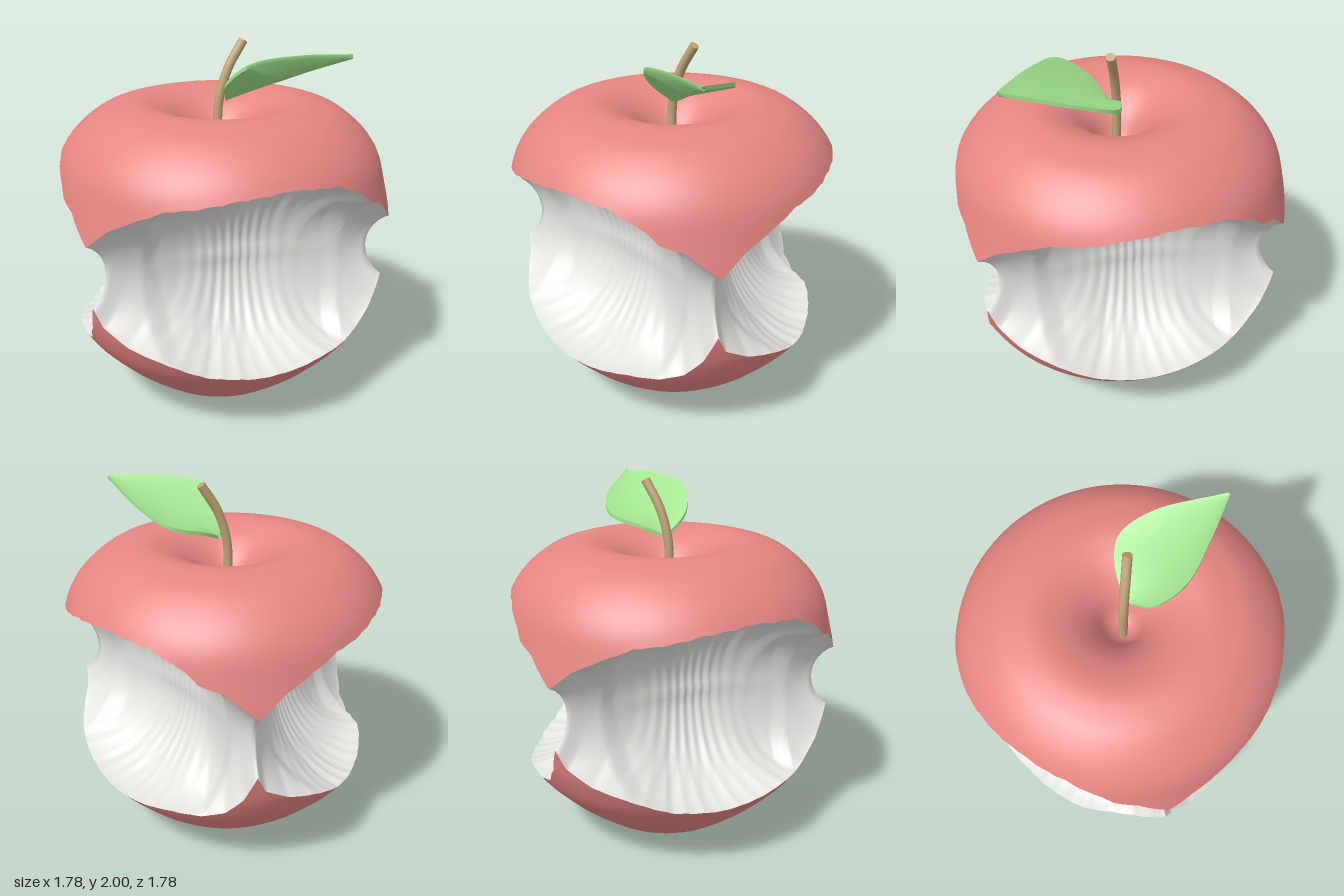
import * as THREE from 'three';
import { toCreasedNormals } from 'three/addons/utils/BufferGeometryUtils.js';

const { lerp, smoothstep, degToRad } = THREE.MathUtils;

const mat = (name, color) => {
  const m = new THREE.MeshStandardMaterial({ color });
  m.name = name;
  return m;
};

// Surface from a rule point(row, col); columns close into a ring
function ringSurface(rows, cols, point) {
  const pos = [], idx = [];
  for (let i = 0; i <= rows; i++)
    for (let j = 0; j < cols; j++) pos.push(...point(i / rows, j));
  for (let i = 0; i < rows; i++)
    for (let j = 0; j < cols; j++) {
      const k = (j + 1) % cols;
      const a = i * cols + j, b = i * cols + k, c = a + cols, d = b + cols;
      idx.push(a, b, d, a, d, c);
    }
  const g = new THREE.BufferGeometry();
  g.setAttribute('position', new THREE.Float32BufferAttribute(pos, 3));
  g.setIndex(idx);
  g.computeVertexNormals();
  return g;
}

// Linear lookup in a list of [input, output] pairs
function lookup(table, x) {
  for (let i = 1; i < table.length; i++) {
    const [x0, y0] = table[i - 1], [x1, y1] = table[i];
    if (x <= x1) return y0 + (y1 - y0) * (x - x0) / (x1 - x0);
  }
  return table[table.length - 1][1];
}

// Apple profile [radius, height] from the bottom dimple to the top dimple
const profilePoints = [
  [0, 0.12], [0.05, 0.07], [0.13, 0.02], [0.22, 0], [0.28, 0.01], [0.39, 0.05], [0.49, 0.12],
  [0.59, 0.2], [0.665, 0.27], [0.785, 0.4], [0.858, 0.53], [0.888, 0.61], [0.918, 0.73], [0.942, 0.9],
  [0.945, 1.07], [0.907, 1.25], [0.866, 1.4], [0.785, 1.52], [0.66, 1.62], [0.55, 1.66],
  [0.45, 1.675], [0.36, 1.658], [0.25, 1.605], [0.15, 1.51], [0.08, 1.39], [0, 1.34],
];
const profile = new THREE.SplineCurve(profilePoints.map(p => new THREE.Vector2(...p)));
const last = profilePoints.length - 1;

// Curve parameter where the outer side of the profile reaches a height
function paramAt(y) {
  let lo = 3 / last, hi = 20 / last;
  for (let i = 0; i < 30; i++) {
    const m = (lo + hi) / 2;
    if (profile.getPoint(m).y < y) lo = m; else hi = m;
  }
  return lo;
}

// Lips of one bite: [angle from the middle of the bite, height]
const topLip = [[-60, 1.09], [-52, 1.2], [-42, 1.28], [-32, 1.345], [-24, 1.36], [-10, 1.4], [8, 1.425],
  [26, 1.4], [38, 1.32], [42, 1.26], [50, 1.22], [60, 1.09]];
const bottomLip = [[-60, 0.75], [-57, 0.65], [-48, 0.57], [-35, 0.51], [-20, 0.43], [0, 0.397], [15, 0.415],
  [28, 0.447], [41, 0.442], [50, 0.49], [56, 0.6], [60, 0.75]];

const BITES = 3, PER_BITE = 120, COLS = BITES * PER_BITE, CENTRE_X = 0.015, CENTRE_Z = 0.035;

// Three equal bites run round the fruit and meet at sharp corners
const columns = Array.from({ length: COLS }, (_, j) => {
  const phi = -60 + 120 * (j % PER_BITE) / PER_BITE;
  const theta = degToRad(phi - 10 + 120 * Math.floor(j / PER_BITE));
  const fade = Math.cos(phi * Math.PI / 120);
  const scallop = 0.006 * Math.abs(Math.sin(phi * 0.42)) * fade;
  const uTop = paramAt(lookup(topLip, phi) + scallop);
  const uBottom = paramAt(lookup(bottomLip, phi) - scallop);
  return { phi, theta, fade, uTop, uBottom, top: profile.getPoint(uTop), bottom: profile.getPoint(uBottom) };
});
const place = (c, r, y) => [r * Math.sin(c.theta) + CENTRE_X, y, r * Math.cos(c.theta) + CENTRE_Z];

function skin(from, to) {
  return ringSurface(32, COLS, (t, j) => {
    const c = columns[j];
    const p = profile.getPoint(lerp(from(c), to(c), t));
    return place(c, Math.max(p.x, 0), p.y);
  });
}

// Bitten flesh: a deep round hollow in the middle of each bite, shallower slopes to the corners
function flesh() {
  return ringSurface(44, COLS, (t, j) => {
    const c = columns[j], s = Math.sin(Math.PI * t), phi = degToRad(c.phi);
    const rim = lerp(c.bottom.x, c.top.x, t);
    const y = (c.top.y + c.bottom.y) / 2 - (c.top.y - c.bottom.y) / 2 * Math.cos(Math.PI * t);
    const hollow = (0.325 + 0.07 * (Math.tan(phi) / 1.235) ** 2) / Math.cos(phi);
    const slope = 0.415 / Math.cos(phi);
    const edge = c.phi < 0 ? 29 + 22 * s : 37 + 15 * s;
    const side = smoothstep(Math.abs(c.phi), edge - 1, edge + 1);
    const groove = 0.004 * s * c.fade * Math.sin((c.phi + 60 * (t - 0.5) ** 2) * 0.8);
    const ridge = 0.012 * c.fade * Math.exp(-(((y - 0.91) / 0.045) ** 2));
    const middleR = rim - (rim - hollow) * s + groove + ridge;
    const sideR = rim - (rim - slope) * s ** 1.5;
    return place(c, lerp(middleR, sideR, side), y);
  });
}

const curve = pts => new THREE.CatmullRomCurve3(pts.map(p => new THREE.Vector3(...p)));

// Folded leaf lofted between its two edges and the midrib
function leafGeometry() {
  const mid = curve([[0.04, 1.685, 0.07], [0.15, 1.745, 0.16], [0.27, 1.81, 0.27], [0.4, 1.88, 0.39], [0.535, 1.945, 0.515]]);
  const left = curve([[0.03, 1.685, 0.08], [-0.022, 1.79, 0.19], [0.05, 1.91, 0.335], [0.27, 1.95, 0.435], [0.53, 1.95, 0.52]]);
  const right = curve([[0.05, 1.685, 0.06], [0.15, 1.735, -0.005], [0.34, 1.79, -0.015], [0.455, 1.86, 0.14], [0.54, 1.95, 0.51]]);
  const ring = [[right, 1], [mid, 1], [left, 1], [left, -1], [mid, -1], [right, -1]];
  const g = ringSurface(28, 6, (t, j) => {
    const p = ring[j][0].getPoint(t);
    return [p.x, p.y + 0.01 * ring[j][1], p.z];
  });
  return toCreasedNormals(g, 1);
}

export function createModel() {
  const group = new THREE.Group();
  group.name = 'bittenApple';
  const red = mat('apple red', 0xe68683);
  const cream = mat('flesh white', 0xe8e6e3);
  const brown = mat('stem brown', 0xc2a47a);
  const green = mat('leaf green', 0xa3e590);
  cream.side = green.side = THREE.DoubleSide;

  const add = (name, geometry, material) => {
    const m = new THREE.Mesh(geometry, material);
    m.name = name;
    group.add(m);
    return m;
  };

  add('lowerSkin', skin(() => 0, c => c.uBottom), red);
  add('upperSkin', skin(c => c.uTop, () => 1), red);
  add('bittenFlesh', flesh(), cream);

  // Bent stem with a flat cut end
  const path = curve([[0, 1.3, 0.042], [0, 1.5, 0.042], [0.01, 1.68, 0.042], [0.06, 1.84, 0.044], [0.15, 1.988, 0.046]]);
  add('stem', new THREE.TubeGeometry(path, 24, 0.025, 12), brown);
  const end = add('stemEnd', new THREE.CircleGeometry(0.025, 12), brown);
  end.position.copy(path.getPoint(1));
  end.quaternion.setFromUnitVectors(new THREE.Vector3(0, 0, 1), path.getTangent(1));

  add('leaf', leafGeometry(), green);
  return group;
}
